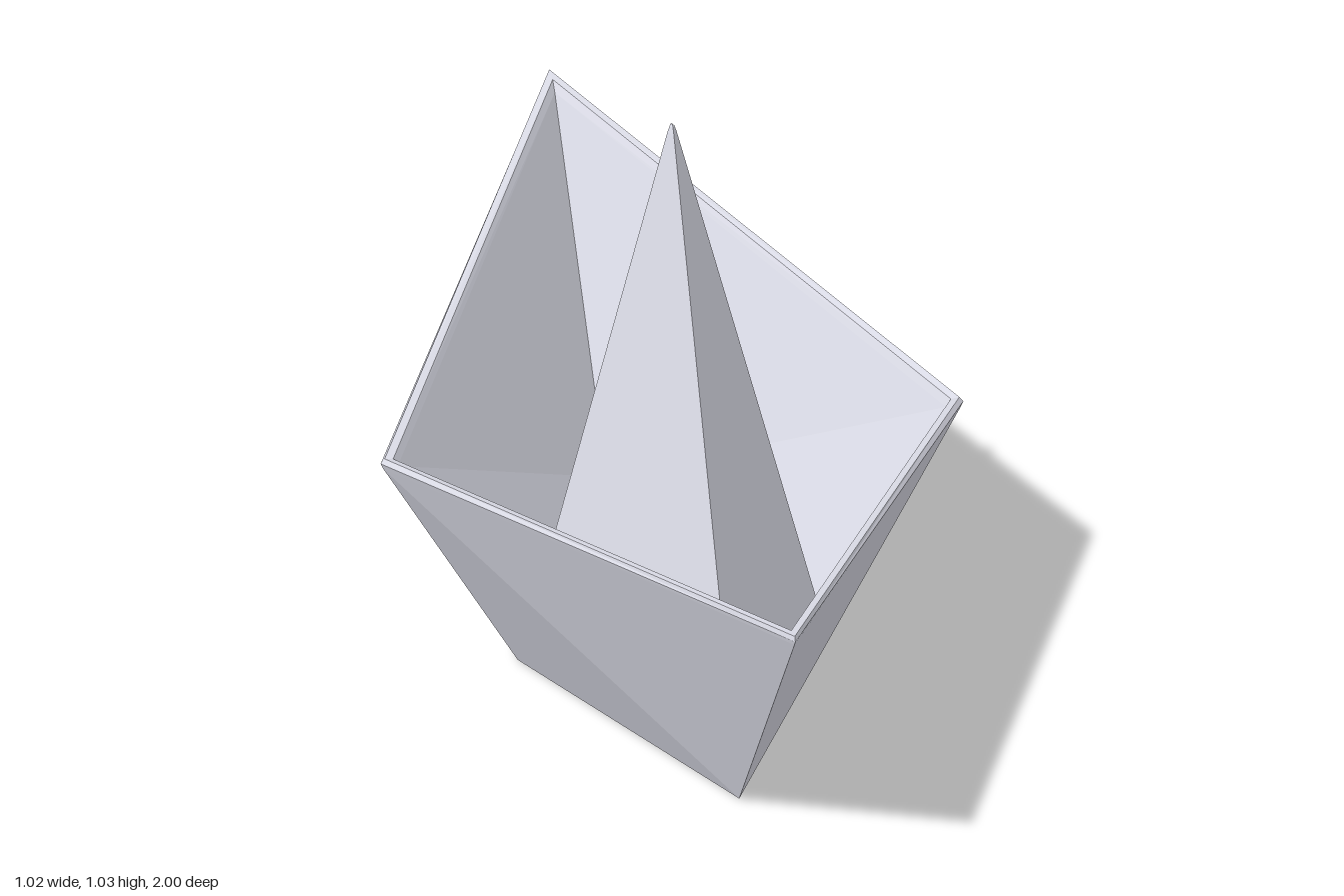
import * as THREE from 'three';

// Skins a run of diamond rings. Each ring is [x, y of the side corners, z, y of the end corners].
// Rings running upwards face outwards; rings running downwards face inwards.
function diamondLoft(rings) {
  const pos = [];
  const corner = ([x, yx, z, yz], k) =>
    [[x, yx, 0], [0, yz, z], [-x, yx, 0], [0, yz, -z]][k % 4];
  const tri = (...points) => points.forEach((p) => pos.push(...p));
  for (let i = 0; i < rings.length - 1; i++) {
    const rising = rings[i + 1][1] >= rings[i][1];
    for (let k = 0; k < 4; k++) {
      const a = corner(rings[i], k), b = corner(rings[i], k + 1);
      const d = corner(rings[i + 1], k), c = corner(rings[i + 1], k + 1);
      // The fold always runs from the upper side corner to the lower end corner
      if ((k % 2 === 0) === rising) {
        tri(b, a, d);
        tri(b, d, c);
      } else {
        tri(b, a, c);
        tri(a, d, c);
      }
    }
  }
  const geometry = new THREE.BufferGeometry();
  geometry.setAttribute('position', new THREE.Float32BufferAttribute(pos, 3));
  geometry.computeVertexNormals();
  return geometry;
}

export function createModel() {
  const group = new THREE.Group();
  const paper = new THREE.MeshStandardMaterial({ color: 0xdcdde8 });
  paper.name = 'paper';

  const add = (name, rings) => {
    const mesh = new THREE.Mesh(diamondLoft(rings), paper);
    mesh.name = name;
    group.add(mesh);
  };

  const valley = [0.26, 0.03, 0.53, 0.03];
  const hollowBase = [0.264, 0, 0.533, 0];

  // Folded hull: base edge, outer wall, rounded rim, inner wall
  add('hull', [
    hollowBase,
    [0.27, 0, 0.545, 0],
    [0.505, 0.405, 0.993, 0.555],
    [0.51, 0.416, 1.0, 0.565],
    [0.503, 0.425, 0.995, 0.573],
    [0.488, 0.423, 0.967, 0.569],
    [0.48, 0.408, 0.95, 0.553],
    valley,
  ]);

  // Central peak with a slightly blunted tip
  add('sail', [
    valley,
    [0.008, 1.01, 0.016, 1.01],
    [0.004, 1.022, 0.008, 1.022],
    [0, 1.026, 0, 1.026],
  ]);

  // Inside of the peak, open at the bottom
  add('sailHollow', [[0, 0.98, 0, 0.98], hollowBase]);

  return group;
}
